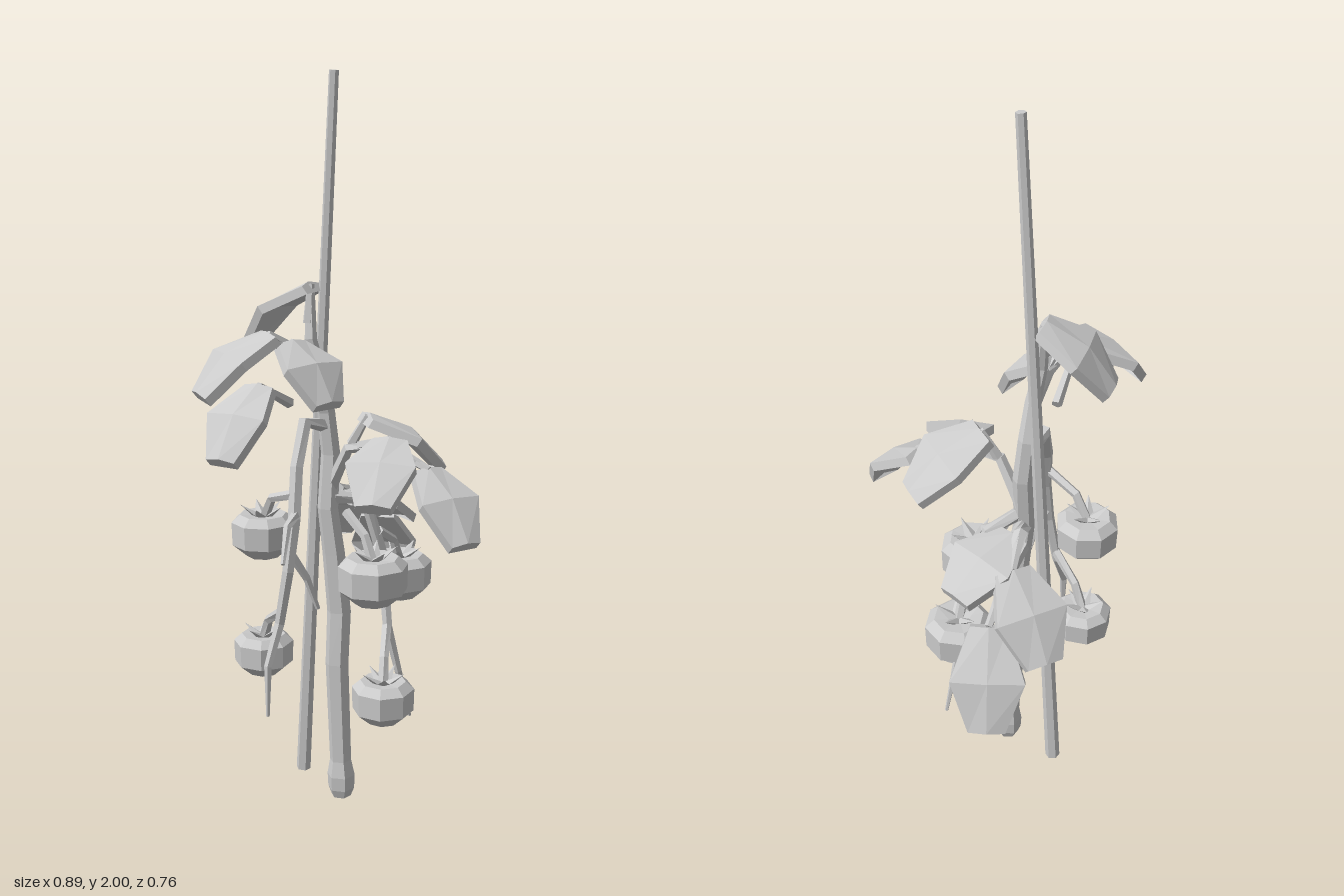
import * as THREE from 'three';

const V = (a) => new THREE.Vector3(a[0], a[1], a[2]);
const material = new THREE.MeshStandardMaterial({ color: 0xcccccc, flatShading: true });

// Skin a row of closed rings (counter-clockwise about the travel direction), capped at both ends
function loft(rings) {
  const n = rings[0].length, index = [];
  for (let i = 0; i < rings.length - 1; i++) {
    for (let j = 0; j < n; j++) {
      const a = i * n + j, b = i * n + (j + 1) % n;
      index.push(a, b, b + n, a, b + n, a + n);
    }
  }
  const end = (rings.length - 1) * n;
  for (let j = 1; j < n - 1; j++) index.push(0, j + 1, j, end, end + j, end + j + 1);
  const geometry = new THREE.BufferGeometry().setFromPoints(rings.flat());
  geometry.setIndex(index);
  geometry.computeVertexNormals();
  return geometry;
}

// Angular tapering limb; each point is [x, y, z, radius]
function limb(points, sides = 5) {
  const p = points.map(V);
  const along = p[p.length - 1].clone().sub(p[0]).normalize();
  const ref = Math.abs(along.z) < 0.7 ? new THREE.Vector3(0, 0, 1) : new THREE.Vector3(1, 0, 0);
  return loft(p.map((c, i) => {
    const t = p[Math.min(i + 1, p.length - 1)].clone().sub(p[Math.max(i - 1, 0)]).normalize();
    const u = ref.clone().cross(t).normalize();
    const v = t.clone().cross(u);
    return Array.from({ length: sides }, (_, k) => {
      const a = (k / sides) * Math.PI * 2, r = points[i][3];
      return c.clone().addScaledVector(u, r * Math.cos(a)).addScaledVector(v, r * Math.sin(a));
    });
  }));
}

// Thick six-cornered leaf, folded on its midrib and bent once across the middle
function leafBlade(base, tip, width) {
  const b = V(base), d = V(tip).sub(b);
  const dir = d.clone().normalize();
  const n = new THREE.Vector3(0, 1, 0).addScaledVector(dir, -dir.y).normalize();
  const s = n.clone().cross(dir);
  const rows = [[0, 0.5, 0], [0.5, 1, 0.028], [1, 0.5, 0]];
  return loft(rows.map(([t, w, arch]) => {
    const at = (side, h) => b.clone().addScaledVector(d, t)
      .addScaledVector(s, side * w * width / 2).addScaledVector(n, arch + h);
    return [at(1, -0.025), at(1, 0), at(0, 0.01), at(-1, 0), at(-1, -0.025), at(0, -0.015)];
  }));
}

export function createModel() {
  const group = new THREE.Group();
  const add = (name, geometry, parent = group) => {
    const mesh = new THREE.Mesh(geometry, material);
    mesh.name = name;
    parent.add(mesh);
    return mesh;
  };

  // Leaning support stake
  add('stake', limb([[0.024, 0.02, -0.24, 0.021], [0.003, 2, -0.083, 0.013]], 6));

  // Main stem with swollen foot
  add('mainStem', limb([
    [0.008, 0, -0.07, 0.028], [0.008, 0.025, -0.07, 0.038], [0.008, 0.065, -0.07, 0.04],
    [0.008, 0.11, -0.072, 0.031], [0.008, 0.4, -0.085, 0.033], [0.022, 0.55, -0.09, 0.034],
    [0.012, 0.72, -0.1, 0.032], [0, 0.85, -0.11, 0.029], [0.012, 1.0, -0.11, 0.027],
    [0, 1.12, -0.115, 0.025], [-0.03, 1.22, -0.11, 0.021], [-0.05, 1.32, -0.12, 0.017],
    [-0.03, 1.46, -0.14, 0.011],
  ], 6));

  // Side branches and bare twigs
  const branches = {
    leftBranch: [[0, 1.08, -0.115, 0.021], [-0.08, 1.1, -0.115, 0.019], [-0.13, 0.99, -0.095, 0.018],
      [-0.16, 0.86, -0.075, 0.018], [-0.185, 0.72, -0.075, 0.016], [-0.195, 0.57, -0.1, 0.014],
      [-0.24, 0.46, -0.1, 0.011], [-0.248, 0.32, -0.095, 0.005]],
    leftUpperTwig: [[-0.155, 0.87, -0.075, 0.014], [-0.23, 0.86, -0.03, 0.011], [-0.28, 0.78, 0.005, 0.006]],
    leftInnerTwig: [[-0.17, 0.76, -0.075, 0.013], [-0.13, 0.69, -0.06, 0.011], [-0.1, 0.6, -0.05, 0.007]],
    rightBranch: [[0.01, 0.88, -0.1, 0.02], [0.1, 0.86, -0.06, 0.018], [0.145, 0.7, -0.04, 0.017],
      [0.125, 0.5, 0, 0.014], [0.155, 0.36, 0.015, 0.011], [0.2, 0.21, 0.02, 0.005]],
    backBranch: [[0, 0.83, -0.11, 0.022], [0.08, 0.88, -0.15, 0.02], [0.18, 0.83, -0.18, 0.016],
      [0.31, 0.74, -0.2, 0.011]],
    crownBranch: [[-0.03, 1.2, -0.11, 0.016], [-0.09, 1.29, -0.12, 0.014], [-0.2, 1.33, -0.13, 0.01]],
    frontBranch: [[0.01, 0.9, -0.11, 0.02], [0.0, 1.03, -0.03, 0.016], [0.03, 1.05, 0.06, 0.014],
      [0.06, 1.0, 0.2, 0.01]],
  };
  for (const [name, points] of Object.entries(branches)) add(name, limb(points));

  // Leaves: petiole start, base, tip, width
  const leaves = [
    [[-0.09, 1.29, -0.12], [-0.18, 1.345, -0.145], [-0.355, 1.2, -0.22], 0.23],
    [[-0.13, 1.16, -0.12], [-0.27, 1.23, -0.085], [-0.435, 1.07, -0.05], 0.17],
    [[-0.05, 1.28, -0.12], [-0.12, 1.32, -0.12], [-0.135, 1.18, 0.035], 0.18],
    [[-0.05, 1.36, -0.13], [-0.035, 1.46, -0.135], [-0.085, 1.31, -0.31], 0.18],
    [[0.08, 0.88, -0.15], [0.185, 0.85, -0.195], [0.28, 0.68, -0.36], 0.2],
    [[0.2, 0.82, -0.18], [0.31, 0.755, -0.205], [0.425, 0.505, -0.275], 0.195],
    [[0.03, 0.86, -0.12], [0.085, 0.87, -0.13], [0.295, 0.785, -0.085], 0.2],
    [[0.01, 1.04, -0.03], [0.03, 1.12, 0.01], [0.205, 0.98, 0.115], 0.21],
    [[0.01, 1.04, 0], [0.03, 1.07, 0.09], [-0.145, 0.94, 0.19], 0.185],
    [[0.04, 1.03, 0.13], [0.065, 1.0, 0.19], [0.02, 0.84, 0.36], 0.175],
  ];
  for (const [start, base, tip, width] of leaves) {
    const leaf = new THREE.Group();
    leaf.name = 'leaf';
    add('petiole', limb([[...start, 0.015], [...base, 0.01]]), leaf);
    add('leafBlade', leafBlade(base, tip, width), leaf);
    group.add(leaf);
  }

  // Faceted fruit with a ring of sepals, hanging from a bent stalk
  const profile = [[0, -0.075], [0.05, -0.075], [0.094, -0.037], [0.096, 0.033], [0.07, 0.056], [0, 0.048]]
    .map(([r, y]) => new THREE.Vector2(r, y));
  const fruitBody = new THREE.LatheGeometry(profile, 8);
  const sepalBlade = new THREE.ConeGeometry(0.022, 0.07, 4).translate(0, 0.033, 0).scale(1, 1, 0.5);
  // Centre, size, stalk start
  const fruits = [
    [[-0.128, 0.785, -0.232], 0.91, [-0.15, 0.92, -0.09]],
    [[0.023, 0.68, 0.038], 1, [0.03, 0.84, -0.07]],
    [[0.247, 0.615, -0.065], 0.96, [0.13, 0.77, -0.04]],
    [[-0.14, 0.445, -0.225], 0.86, [-0.19, 0.6, -0.1]],
    [[0.03, 0.335, 0.07], 0.9, [0.12, 0.5, 0]],
  ];
  fruits.forEach(([c, size, start], i) => {
    const fruit = new THREE.Group();
    fruit.name = 'fruit';
    fruit.position.set(...c);
    fruit.scale.setScalar(size);
    fruit.rotation.y = i * 0.7 + 0.2;
    add('fruitBody', fruitBody, fruit);
    for (let k = 0; k < 5; k++) {
      const sepal = add('sepal', sepalBlade, fruit);
      const a = (k / 5) * Math.PI * 2;
      sepal.position.set(Math.sin(a) * 0.012, 0.045, Math.cos(a) * 0.012);
      sepal.rotation.set(0.95, a, 0, 'YXZ');
    }
    group.add(fruit);
    const top = c[1] + 0.048 * size;
    add('fruitStalk', limb([[...start, 0.014],
      [start[0] * 0.3 + c[0] * 0.7, top + 0.06, start[2] * 0.3 + c[2] * 0.7, 0.013],
      [c[0], top - 0.01, c[2], 0.015]]));
  });

  return group;
}
